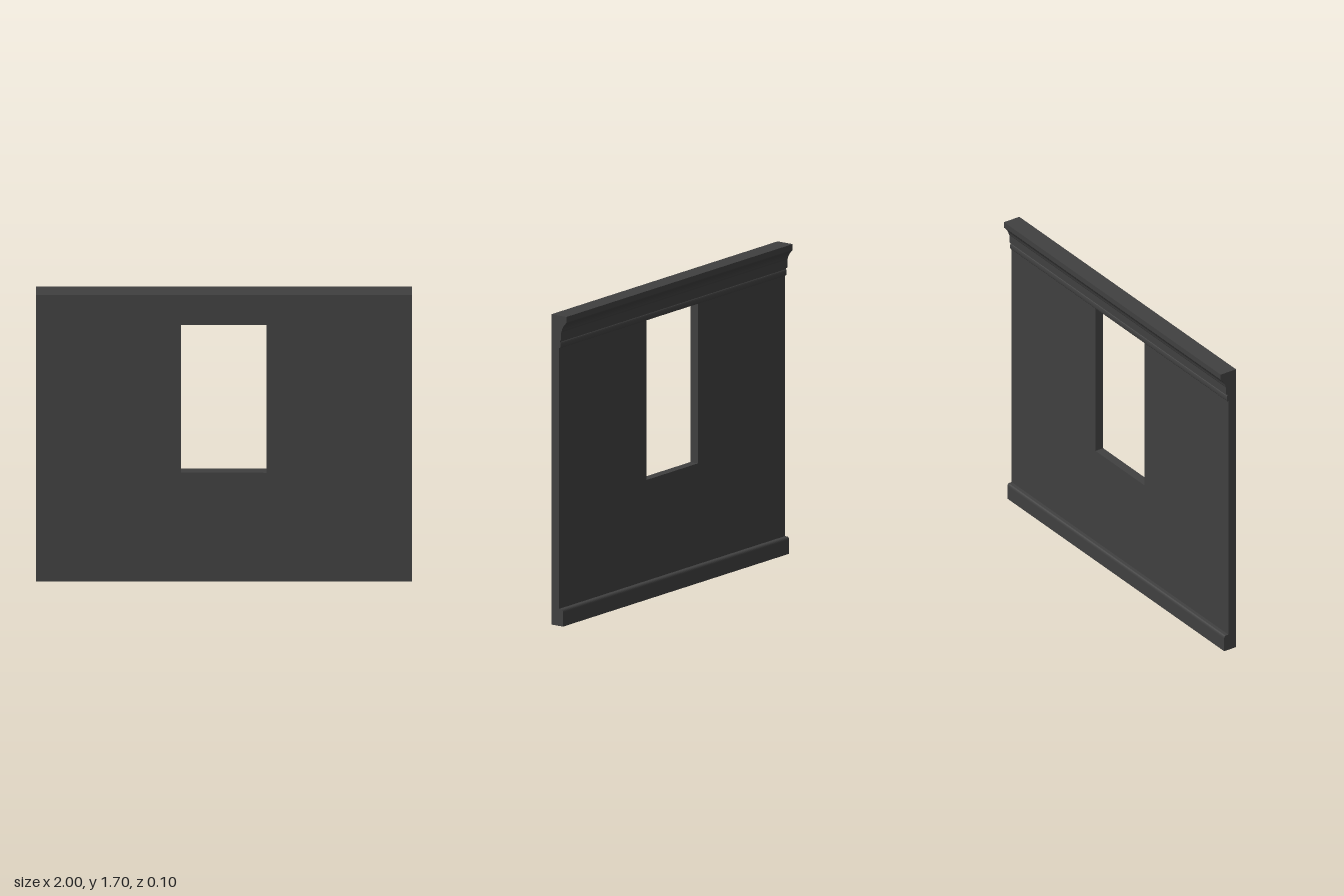
import * as THREE from 'three';

const HALF = 1, HEIGHT = 1.7, FRONT = 0.05;

export function createModel() {
  const group = new THREE.Group();
  const material = new THREE.MeshStandardMaterial({ color: 0x404040 });
  const add = (name, geometry) => {
    const mesh = new THREE.Mesh(geometry, material);
    mesh.name = name;
    group.add(mesh);
  };

  // Wall panel with the window opening
  const panel = new THREE.Shape([[-HALF, 0], [HALF, 0], [HALF, HEIGHT], [-HALF, HEIGHT]]
    .map(([x, y]) => new THREE.Vector2(x, y)));
  panel.holes.push(new THREE.Path([[-0.228, 0.645], [-0.228, 1.522], [0.226, 1.522], [0.226, 0.645]]
    .map(([x, y]) => new THREE.Vector2(x, y))));
  add('wall', new THREE.ExtrudeGeometry(panel, { depth: FRONT, bevelEnabled: false }));

  // Moulding profile (distance behind the wall, height) run along the full width
  const moulding = (name, shape) => {
    const geometry = new THREE.ExtrudeGeometry(shape,
      { depth: 2 * HALF, bevelEnabled: false, curveSegments: 6 });
    geometry.rotateY(Math.PI / 2).translate(-HALF, 0, 0);
    add(name, geometry);
  };

  // Cornice: small bead, flat band, cove and top fillet
  const cornice = new THREE.Shape();
  cornice.moveTo(0, 1.522);
  cornice.lineTo(0.006, 1.522);
  cornice.bezierCurveTo(0.012, 1.525, 0.012, 1.553, 0.006, 1.556);
  cornice.lineTo(0.006, 1.563);
  cornice.lineTo(0.015, 1.566);
  cornice.lineTo(0.015, 1.61);
  cornice.lineTo(0.019, 1.618);
  cornice.quadraticCurveTo(0.022, 1.64, 0.048, 1.665);
  cornice.lineTo(0.05, 1.67);
  cornice.lineTo(0.05, HEIGHT);
  cornice.lineTo(0, HEIGHT);
  moulding('cornice', cornice);

  // Baseboard with an eased top edge
  const base = new THREE.Shape();
  base.moveTo(0, 0);
  base.lineTo(0.027, 0);
  base.lineTo(0.027, 0.078);
  base.quadraticCurveTo(0.026, 0.09, 0.018, 0.093);
  base.lineTo(0, 0.093);
  moulding('baseboard', base);

  return group;
}
